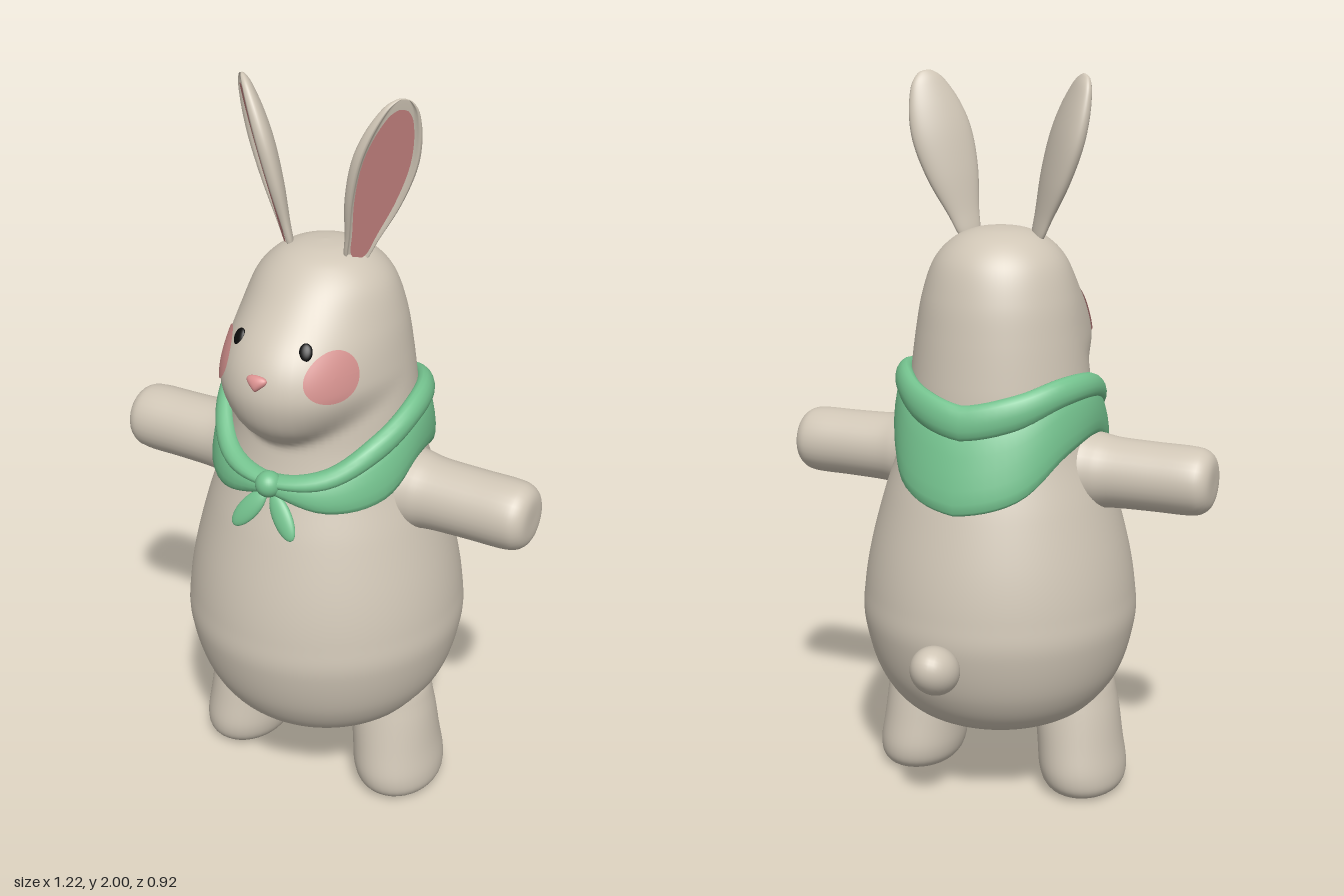
import * as THREE from 'three';
import { mergeVertices } from 'three/addons/utils/BufferGeometryUtils.js';

const mat = (name, color, side = THREE.FrontSide) => {
  const m = new THREE.MeshStandardMaterial({ color, side });
  m.name = name;
  return m;
};
const CZ = 0.07; // depth of the body axis
const { smoothstep, lerp } = THREE.MathUtils;

const spline = (pts) => new THREE.SplineCurve(pts.map(([a, b]) => new THREE.Vector2(a, b)));

// Smooth closed lathe, optionally reshaped by a vertex rule
function turned(pts, rows, segs, rule) {
  const profile = spline(pts).getPoints(rows);
  profile.forEach((p) => { p.x = Math.max(p.x, 0); });
  let g = new THREE.LatheGeometry(profile, segs, Math.PI);
  g.deleteAttribute('uv');
  g.deleteAttribute('normal');
  g = mergeVertices(g, 1e-5);
  if (rule) {
    const pos = g.attributes.position, v = new THREE.Vector3();
    for (let i = 0; i < pos.count; i++) {
      rule(v.fromBufferAttribute(pos, i));
      pos.setXYZ(i, v.x, v.y, v.z);
    }
  }
  g.computeVertexNormals();
  return g;
}

// Body and head profile: radius, height
const BODY = [[0, 0.2], [0.15, 0.21], [0.27, 0.26], [0.345, 0.36], [0.383, 0.5], [0.38, 0.6],
  [0.36, 0.72], [0.32, 0.87], [0.277, 1.0], [0.255, 1.1], [0.245, 1.2], [0.23, 1.32],
  [0.212, 1.42], [0.18, 1.51], [0.13, 1.565], [0.07, 1.592], [0, 1.6]];
const samples = spline(BODY).getPoints(300);

function radiusAt(y) {
  const i = samples.findIndex((p) => p.y >= y);
  if (i <= 0) return 0;
  const a = samples[i - 1], b = samples[i];
  return lerp(a.x, b.x, (y - a.y) / (b.y - a.y || 1));
}

// Radius of the body with the round muzzle blended in, for angle t from the front
function skin(t, y, R = radiusAt(y)) {
  if (y < 1.05) return R;
  const k = lerp(0.025, 0.15, smoothstep(y, 1.14, 1.3));
  let r = R;
  for (let n = 0; n < 30; n++) {
    const muzzle = Math.hypot(r * Math.sin(t), y - 1.28, r * Math.cos(t) + CZ - 0.26) - 0.16;
    const h = Math.max(k - Math.abs(r - R - muzzle), 0) / k;
    r -= Math.min(r - R, muzzle) - h * h * k / 4;
  }
  return r;
}

function skinPoint(t, y, lift = 0) {
  const r = skin(t, y) + lift;
  return new THREE.Vector3(r * Math.sin(t), y, CZ + r * Math.cos(t));
}

// Cloth band round the neck; heights are given from front to back
function band(top, bottom, gap, thick) {
  const N = 72, M = 16, pos = [], idx = [];
  const along = (list) => spline(list.map((v, i) => [i, v]));
  const T = along(top), B = along(bottom);
  for (let i = 0; i < N; i++) {
    const t = (i / N) * Math.PI * 2;
    const f = 1 - Math.abs(1 - (2 * i) / N);
    const yt = T.getPoint(f).y, yb = B.getPoint(f).y;
    for (let j = 0; j < M; j++) {
      const a = (j / M) * Math.PI * 2;
      const y = lerp(yb, yt, (1 + Math.cos(a)) / 2);
      const r = radiusAt(y) + gap + thick * Math.sin(a);
      pos.push(r * Math.sin(t), y, CZ + r * Math.cos(t));
      const i2 = (i + 1) % N, j2 = (j + 1) % M;
      const p = i * M + j, q = i * M + j2, s = i2 * M + j2, u = i2 * M + j;
      idx.push(p, q, s, p, s, u);
    }
  }
  const g = new THREE.BufferGeometry();
  g.setAttribute('position', new THREE.Float32BufferAttribute(pos, 3));
  g.setIndex(idx);
  g.computeVertexNormals();
  return g;
}

export function createModel() {
  const model = new THREE.Group();
  const fur = mat('fur', 0xd0c6b6);
  const green = mat('scarfGreen', 0x74c28e);
  const earPink = mat('innerEarPink', 0xc98583, THREE.DoubleSide);
  const blush = mat('blush', 0xd4918e, THREE.DoubleSide);
  const nosePink = mat('nosePink', 0xdb9190);
  const black = mat('eyeBlack', 0x0c0c0c);

  const add = (name, geo, material, parent = model) => {
    const m = new THREE.Mesh(geo, material);
    m.name = name;
    parent.add(m);
    return m;
  };
  const ball = new THREE.SphereGeometry(1, 32, 20);

  // Body and head in one smooth surface
  add('bodyAndHead', turned(BODY, 150, 72, (v) => {
    const R = Math.hypot(v.x, v.z);
    const t = Math.atan2(v.x, v.z);
    const r = R > 1e-4 ? skin(t, v.y, R) : 0;
    v.set(r * Math.sin(t), v.y, CZ + r * Math.cos(t));
  }), fur);

  // Tail
  const tail = add('tail', ball, fur);
  tail.scale.set(0.064, 0.064, 0.083);
  tail.position.set(0, 0.495, -0.383);
  tail.rotation.x = 0.6;

  // Nose, a ball narrowed towards the bottom
  const noseGeo = ball.clone();
  const np = noseGeo.attributes.position;
  for (let i = 0; i < np.count; i++) np.setX(i, np.getX(i) * (0.72 + 0.5 * np.getY(i)));
  noseGeo.computeVertexNormals();
  const nose = add('nose', noseGeo, nosePink);
  nose.scale.set(0.034, 0.021, 0.014);
  nose.position.set(0, 1.335, 0.41);
  nose.rotation.x = -0.3;

  // Neck scarf: drape, upper roll and knot
  add('scarfDrape', band([1.05, 1.07, 1.13, 1.19, 1.19, 1.13, 1.1],
    [1.0, 0.965, 0.98, 1.05, 1.02, 0.92, 0.88], 0.01, 0.026), green);
  add('scarfRoll', band([1.05, 1.08, 1.16, 1.22, 1.228, 1.195, 1.165],
    [1.02, 1.03, 1.09, 1.15, 1.15, 1.1, 1.07], 0.016, 0.026), green);
  const knot = add('scarfKnot', ball, green);
  knot.scale.setScalar(0.035);
  knot.position.set(0, 1.03, 0.365);

  // Ear outline: half width, height
  const EAR = [[0, -0.235], [0.03, -0.215], [0.047, -0.15], [0.075, -0.05], [0.087, 0.05],
    [0.077, 0.13], [0.05, 0.2], [0.022, 0.23], [0, 0.235]];
  const earGeo = turned(EAR, 50, 56, (v) => {
    const w = Math.hypot(v.x, v.z);
    const c = w > 1e-5 ? v.z / w : 0;
    // hollow front inside a raised rim
    v.z = c > 0 ? w * (0.42 * c * (1 - smoothstep(c, 0.5, 0.75)) + 0.03 * c) : v.z * 0.4;
  });
  const half = spline(EAR).getPoints(30).map((p) => new THREE.Vector2(Math.max(p.x, 0) * 0.72, p.y * 0.9));
  const outline = half.concat(half.slice(1, -1).reverse().map((p) => new THREE.Vector2(-p.x, p.y)));
  const innerEarGeo = new THREE.ShapeGeometry(new THREE.Shape(outline));

  // Arm lies along its own axis from the body centre outwards
  const armGeo = turned([[0, 0.15], [0.11, 0.2], [0.106, 0.28], [0.097, 0.34], [0.094, 0.45],
    [0.093, 0.55], [0.083, 0.59], [0.055, 0.61], [0, 0.612]], 40, 32);

  for (const s of [1, -1]) {
    const side = s > 0 ? 'left' : 'right';

    const ear = new THREE.Group();
    ear.name = side + 'Ear';
    ear.position.set(s * 0.16, 1.775, 0.088);
    ear.rotation.set(0, s * 0.85, -s * 0.3, 'ZYX');
    add(side + 'EarShell', earGeo, fur, ear);
    add(side + 'EarInside', innerEarGeo, earPink, ear).position.z = 0.009;
    model.add(ear);

    const arm = add(side + 'Arm', armGeo, fur);
    arm.position.set(0, 0.95, CZ);
    arm.rotation.z = -s * Math.PI / 2;

    // Leg: longer than wide at the foot, leaning in towards the hip
    add(side + 'Leg', turned([[0, 0], [0.08, 0.003], [0.11, 0.025], [0.121, 0.07], [0.12, 0.15],
      [0.119, 0.28], [0.1, 0.37], [0, 0.44]], 40, 36, (v) => {
      v.x += s * (0.258 - 0.12 * v.y);
      v.z = v.z * lerp(1.25, 0.92, smoothstep(v.y, 0.05, 0.35)) + 0.09;
    }), fur);

    // Eye
    const eye = add(side + 'Eye', ball, black);
    eye.scale.set(0.017, 0.023, 0.008);
    eye.position.copy(skinPoint(s * 0.35, 1.41));
    eye.lookAt(s * 0.16, 1.5, 0.48);

    // Cheek patch laid on the skin
    const cheekGeo = new THREE.RingGeometry(0, 1, 40, 8);
    const cp = cheekGeo.attributes.position;
    for (let i = 0; i < cp.count; i++) {
      const p = skinPoint(s * 0.6 + cp.getX(i) * 0.25, 1.345 + cp.getY(i) * 0.063, 0.004);
      cp.setXYZ(i, p.x, p.y, p.z);
    }
    cheekGeo.computeVertexNormals();
    add(side + 'Cheek', cheekGeo, blush);

    // Loose scarf end below the knot
    const end = add(side + 'ScarfEnd', ball, green);
    end.scale.set(0.028, 0.066, 0.014);
    end.position.set(s * 0.05, 0.953, 0.382);
    end.rotation.set(-0.35, 0, s * 0.62);
  }
  return model;
}
